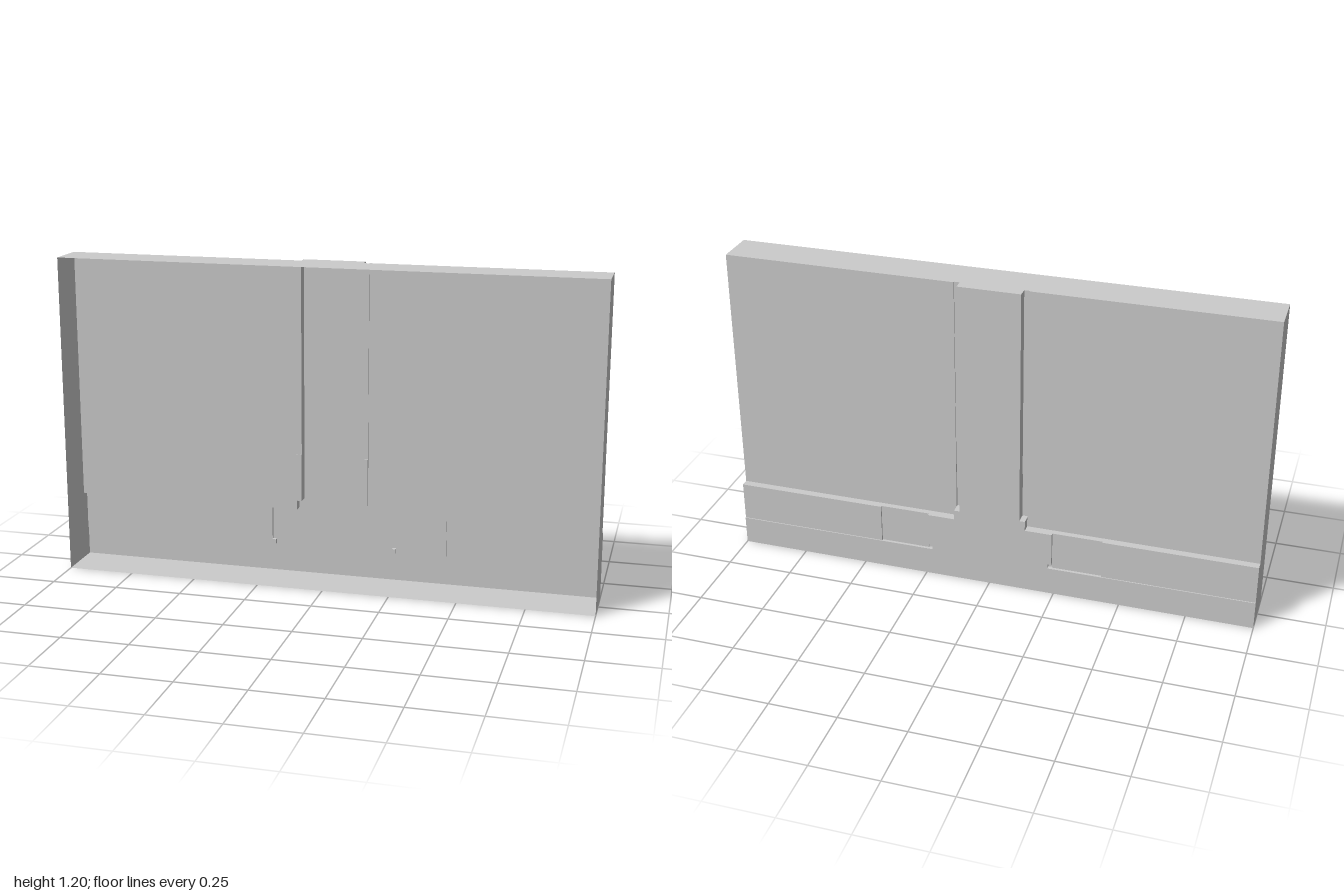
import * as THREE from 'three';

const FRONT = 0.092, BACK = -0.092;

// Recessed zones of the back wall, mirrored in x: [x0, x1, y0, y1, z]
const ZONES = [
  [0.137, 1, 0.257, 1.2, -0.059],      // large upper panel
  [0.116, 0.137, 0.475, 1.2, -0.054],  // groove beside the centre post
  [0.116, 0.137, 0.295, 0.475, -0.05], // deeper foot of the groove
  [0.43, 1, 0.108, 0.257, -0.088],     // shallow lower band
  [0.24, 0.43, 0.108, 0.257, -0.081],  // small lower recess
  [0.226, 0.24, 0.108, 0.126, -0.076], // notch at the recess corner
];

// Depth of the back wall; beyond the outline it jumps to the open front
function depth(x, y) {
  const ax = Math.abs(x);
  if (ax > 1 || y < 0 || y > 1.2) return FRONT;
  const zone = ZONES.find(([x0, x1, y0, y1]) => ax > x0 && ax < x1 && y > y0 && y < y1);
  return zone ? zone[4] : BACK;
}

const sortedUnique = (list) => [...new Set(list)].sort((a, b) => a - b);

function quadMesh(name, quads) {
  const points = quads.flatMap(([a, b, c, d]) => [a, b, c, a, c, d]).flat();
  const geometry = new THREE.BufferGeometry();
  geometry.setAttribute('position', new THREE.Float32BufferAttribute(points, 3));
  geometry.computeVertexNormals();
  const material = new THREE.MeshStandardMaterial({ color: 0xcccccc, side: THREE.DoubleSide });
  const mesh = new THREE.Mesh(geometry, material);
  mesh.name = name;
  return mesh;
}

export function createModel() {
  const xs = sortedUnique(ZONES.flatMap(([a, b]) => [a, b, -a, -b]));
  const ys = sortedUnique([0, ...ZONES.flatMap((z) => [z[2], z[3]])]);
  const back = [], steps = [], rim = [];
  const e = 0.001;

  // Back wall, one flat piece per grid cell
  for (let i = 0; i < xs.length - 1; i++) {
    for (let j = 0; j < ys.length - 1; j++) {
      const [x0, x1, y0, y1] = [xs[i], xs[i + 1], ys[j], ys[j + 1]];
      const z = depth((x0 + x1) / 2, (y0 + y1) / 2);
      back.push([[x0, y0, z], [x0, y1, z], [x1, y1, z], [x1, y0, z]]);
    }
  }

  // Upright walls: recess sides and the two outer sides
  for (const x of xs) {
    for (let j = 0; j < ys.length - 1; j++) {
      const [y0, y1] = [ys[j], ys[j + 1]], ym = (y0 + y1) / 2;
      const za = depth(x - e, ym), zb = depth(x + e, ym);
      if (za === zb) continue;
      (Math.abs(x) === 1 ? rim : steps).push([[x, y0, za], [x, y1, za], [x, y1, zb], [x, y0, zb]]);
    }
  }

  // Level walls: recess ledges, the floor and the top
  for (const y of ys) {
    for (let i = 0; i < xs.length - 1; i++) {
      const [x0, x1] = [xs[i], xs[i + 1]], xm = (x0 + x1) / 2;
      const za = depth(xm, y - e), zb = depth(xm, y + e);
      if (za === zb) continue;
      (y === 0 || y === 1.2 ? rim : steps).push([[x0, y, za], [x0, y, zb], [x1, y, zb], [x1, y, za]]);
    }
  }

  const group = new THREE.Group();
  group.name = 'openFrontedWallShell';
  group.add(quadMesh('backWall', back), quadMesh('recessSteps', steps), quadMesh('outerRim', rim));
  return group;
}
